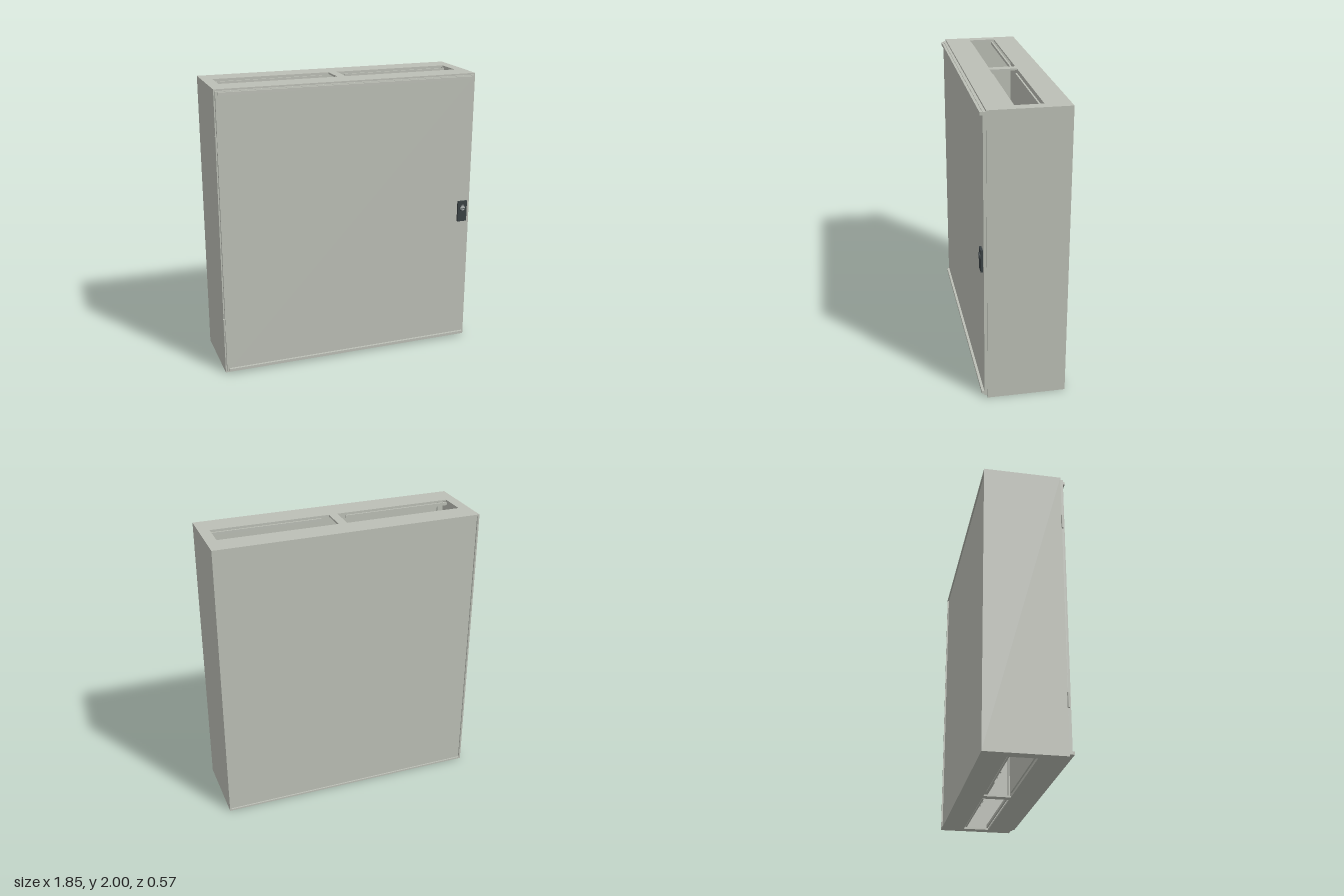
import * as THREE from 'three';

const paint = (name, color) => {
  const m = new THREE.MeshStandardMaterial({ color });
  m.name = name;
  return m;
};

export function createModel() {
  const grey = paint('light grey paint', 0xbcbfb6);
  const dark = paint('dark lock housing', 0x3a4144);
  const metal = paint('lock metal', 0xb4b8b8);
  const root = new THREE.Group();
  root.name = 'wallCabinet';

  // box given by its limits on each axis
  const box = (name, x0, x1, y0, y1, z0, z1, mat = grey, parent = root) => {
    const m = new THREE.Mesh(new THREE.BoxGeometry(x1 - x0, y1 - y0, z1 - z0), mat);
    m.position.set((x0 + x1) / 2, (y0 + y1) / 2, (z0 + z1) / 2);
    m.name = name;
    parent.add(m);
    return m;
  };
  const rect = (P, x0, x1, y0, y1) => {
    const p = new P();
    p.moveTo(x0, y0);
    p.lineTo(x1, y0);
    p.lineTo(x1, y1);
    p.lineTo(x0, y1);
    p.closePath();
    return p;
  };

  const W = 0.923, T = 0.012, BACK = -0.285, FRONT = 0.243;

  // side walls and recessed back panel
  for (const s of [-1, 1]) {
    box(s > 0 ? 'leftWall' : 'rightWall', Math.min(s * W, s * (W - T)), Math.max(s * W, s * (W - T)), 0, 2, BACK, FRONT);
  }
  box('backPanel', -W + T, W - T, T, 2 - T, BACK + 0.01, BACK + 0.02);

  // top and bottom plates, each with two cable openings
  const plate = rect(THREE.Shape, -W + T, W - T, -FRONT, -BACK);
  plate.holes.push(rect(THREE.Path, -0.85, -0.03, -0.067, 0.12), rect(THREE.Path, 0.03, 0.85, -0.067, 0.12));
  const plateGeo = new THREE.ExtrudeGeometry(plate, { depth: T, bevelEnabled: false });
  plateGeo.rotateX(-Math.PI / 2);
  for (const [name, y] of [['bottomPlate', 0], ['topPlate', 2 - T]]) {
    const m = new THREE.Mesh(plateGeo, grey);
    m.position.y = y;
    m.name = name;
    root.add(m);
  }

  // lips beside the openings
  for (const y of [0.015, 1.965]) {
    for (const s of [-1, 1]) {
      const a = s > 0 ? 0.085 : -0.85, b = s > 0 ? 0.85 : -0.085;
      box('openingLipBack', a, b, y, y + 0.02, -0.108, -0.097);
      box('openingLipFront', a, b, y, y + 0.02, 0.053, 0.064);
    }
  }

  // door frame rim behind the door
  const rim = rect(THREE.Shape, -W + T, W - T, T, 2 - T);
  rim.holes.push(rect(THREE.Path, -0.87, 0.87, 0.055, 1.945));
  const rimMesh = new THREE.Mesh(new THREE.ExtrudeGeometry(rim, { depth: 0.01, bevelEnabled: false }), grey);
  rimMesh.position.z = FRONT - 0.012;
  rimMesh.name = 'frontRim';
  root.add(rimMesh);

  // door leaf with raised rain strips
  const door = new THREE.Group();
  door.name = 'door';
  root.add(door);
  box('doorPanel', -0.915, 0.912, 0.015, 1.988, FRONT, 0.262, grey, door);
  for (const y of [0.02, 1.964]) box('rainStrip', -0.9, 0.9, y, y + 0.02, 0.262, 0.279, grey, door);

  // hinges on the door's right edge
  for (const y of [0.31, 1.595]) {
    const h = new THREE.Mesh(new THREE.CylinderGeometry(0.009, 0.009, 0.1, 16), grey);
    h.position.set(-0.919, y + 0.05, 0.246);
    h.name = 'hinge';
    root.add(h);
  }

  // lock: housing, round barrel and key bit
  const lock = new THREE.Group();
  lock.name = 'lock';
  root.add(lock);
  box('lockHousing', 0.82, 0.89, 0.928, 1.08, 0.262, 0.277, dark, lock);
  const barrel = new THREE.Mesh(new THREE.CylinderGeometry(0.021, 0.021, 0.006, 24), metal);
  barrel.rotation.x = Math.PI / 2;
  barrel.position.set(0.855, 1.03, 0.279);
  barrel.name = 'lockBarrel';
  lock.add(barrel);
  const ring = new THREE.Mesh(new THREE.TorusGeometry(0.021, 0.004, 8, 24), dark);
  ring.position.set(0.855, 1.03, 0.28);
  ring.name = 'lockRing';
  lock.add(ring);
  box('lockKeySlot', 0.842, 0.868, 1.021, 1.027, 0.28, 0.285, dark, lock);

  // upright support rails with a hat-shaped section
  for (const x of [-0.335, 0.335]) {
    const rail = new THREE.Group();
    rail.name = 'supportRail';
    root.add(rail);
    box('railWeb', x - 0.047, x + 0.047, 0.05, 0.11, -0.096, -0.09, grey, rail);
    for (const s of [-1, 1]) {
      box('railLeg', x + s * 0.044 - 0.003, x + s * 0.044 + 0.003, 0.05, 0.11, -0.092, -0.07, grey, rail);
      box('railFlange', x + s * 0.056 - 0.013, x + s * 0.056 + 0.013, 0.05, 0.11, -0.074, -0.069, grey, rail);
    }
  }
  box('centreBracket', -0.185, 0.185, 0.05, 0.11, -0.097, -0.069);

  return root;
}
